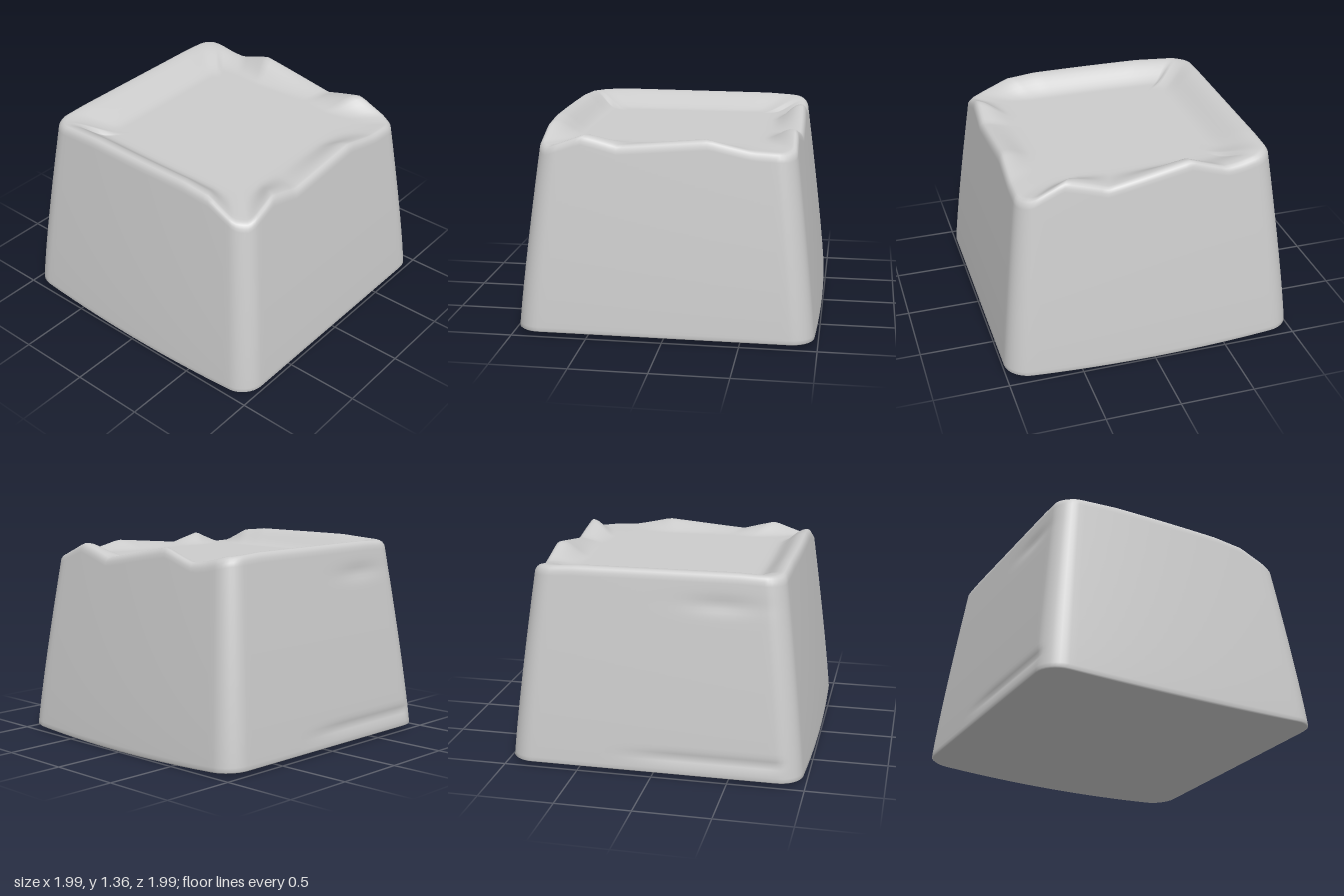
import * as THREE from 'three';

const lerp = THREE.MathUtils.lerp;
const smooth = THREE.MathUtils.smoothstep;

// Rim height at points [x, z, y] going round the top edge
const RIM = [
  [0.8, -0.8, 1.33], [0.82, -0.62, 1.29], [0.82, -0.52, 1.28], [0.82, -0.28, 1.36],
  [0.82, 0.27, 1.26], [0.82, 0.56, 1.34], [0.82, 0.76, 1.25], [0.78, 0.83, 1.24],
  [0.55, 0.83, 1.25], [0.28, 0.83, 1.31], [-0.3, 0.83, 1.26], [-0.54, 0.83, 1.32],
  [-0.76, 0.83, 1.24], [-0.82, 0.76, 1.25], [-0.82, 0.56, 1.34], [-0.82, 0.35, 1.36],
  [-0.82, -0.45, 1.36], [-0.8, -0.8, 1.34], [-0.55, -0.84, 1.35], [0.55, -0.84, 1.345],
].map(([x, z, y]) => ({ a: Math.atan2(z, x), y })).sort((p, q) => p.a - q.a);

function rimHeight(x, z) {
  const a = Math.atan2(z, x), n = RIM.length;
  let i = RIM.findIndex((p) => p.a > a);
  if (i < 0) i = n;
  const p = RIM[(i + n - 1) % n], q = RIM[i % n];
  const turn = Math.PI * 2;
  const span = (q.a - p.a + turn) % turn, d = (a - p.a + turn) % turn;
  return lerp(p.y, q.y, d / span);
}

// Unit rounded square with slightly bowed sides, from the back right corner round
function outline(radius = 0.15, cornerSteps = 8, sideSteps = 36) {
  const pts = [];
  for (let c = 0; c < 4; c++) {
    const start = -Math.PI / 2 + c * Math.PI / 2;
    const sx = c === 0 || c === 1 ? 1 : -1, sz = c === 1 || c === 2 ? 1 : -1;
    for (let i = 0; i <= cornerSteps; i++) {
      const a = start + (i / cornerSteps) * Math.PI / 2;
      pts.push([sx * (1 - radius) + radius * Math.cos(a), sz * (1 - radius) + radius * Math.sin(a)]);
    }
    const [x0, z0] = pts[pts.length - 1];
    const dx = -sz * (1 - radius) * 2, dz = sx * (1 - radius) * 2;
    // the next side runs along +z, -x, -z, +x in turn
    const along = [[0, dz], [dx, 0], [0, dz], [dx, 0]][c];
    for (let i = 1; i < sideSteps; i++) {
      pts.push([x0 + along[0] * i / sideSteps, z0 + along[1] * i / sideSteps]);
    }
  }
  return pts.map(([x, z]) => [x * (0.995 - 0.025 * z * z), z]);
}

// Shallow dents in the back wall
function backDent(x, y, z) {
  if (z > -0.8) return 0;
  const low = 0.014 * smooth(-x, -0.35, 0.2) * smooth(x, -0.9, -0.8)
    * Math.exp(-(((y - 0.14) / 0.03) ** 2));
  const high = 0.012 * Math.exp(-(((x + 0.5) / 0.25) ** 2) - ((y - 1.15) / 0.05) ** 2);
  return low + high;
}

function blockGeometry() {
  const base = outline(), n = base.length, rings = [];
  const taper = (y) => 1 - 0.155 * Math.pow(Math.max(y, 0) / 1.3, 1.15);

  // Bowed underside
  for (const k of [0, 0.25, 0.5, 0.75, 0.9, 0.97, 0.99]) {
    rings.push(base.map(([x, z]) => [x * k, 0.03 * (z * k) ** 2, z * k]));
  }
  // Tapering walls, up to the uneven rim
  const wallSteps = 48;
  for (let i = 0; i <= wallSteps; i++) {
    rings.push(base.map(([x, z]) => {
      const y = lerp(0.012 + 0.025 * z * z, rimHeight(x, z) - 0.035, i / wallSteps);
      const k = taper(y), wz = z * k;
      return [x * k, y, wz + backDent(x, y, wz)];
    }));
  }
  // Rounded lip
  for (const [inset, drop] of [[0.008, 0.014], [0.02, 0.003], [0.035, 0]]) {
    rings.push(base.map(([x, z]) => {
      const y = rimHeight(x, z) - drop, k = taper(y) - inset;
      return [x * k, y, z * k];
    }));
  }
  // Dished top
  const floor = 1.245, topSteps = 28;
  for (let i = 1; i <= topSteps; i++) {
    const t = i / topSteps;
    rings.push(base.map(([x, z]) => {
      const rim = rimHeight(x, z);
      const k = (taper(rim) - 0.035) * (1 - t);
      const width = z < -0.9 ? 0.34 : 0.24;
      return [x * k, lerp(rim, floor, smooth(t, 0, width)), z * k];
    }));
  }

  const index = [];
  for (let r = 0; r < rings.length - 1; r++) {
    for (let j = 0; j < n; j++) {
      const a = r * n + j, b = r * n + (j + 1) % n;
      index.push(a, a + n, b, b, a + n, b + n);
    }
  }
  const geometry = new THREE.BufferGeometry();
  geometry.setAttribute('position', new THREE.Float32BufferAttribute(rings.flat(2), 3));
  geometry.setIndex(index);
  geometry.computeVertexNormals();
  return geometry;
}

export function createModel() {
  const group = new THREE.Group();
  group.name = 'taperedBlock';
  const block = new THREE.Mesh(blockGeometry(), new THREE.MeshStandardMaterial({ color: 0xcccccc }));
  block.name = 'dishedBlock';
  group.add(block);
  return group;
}
